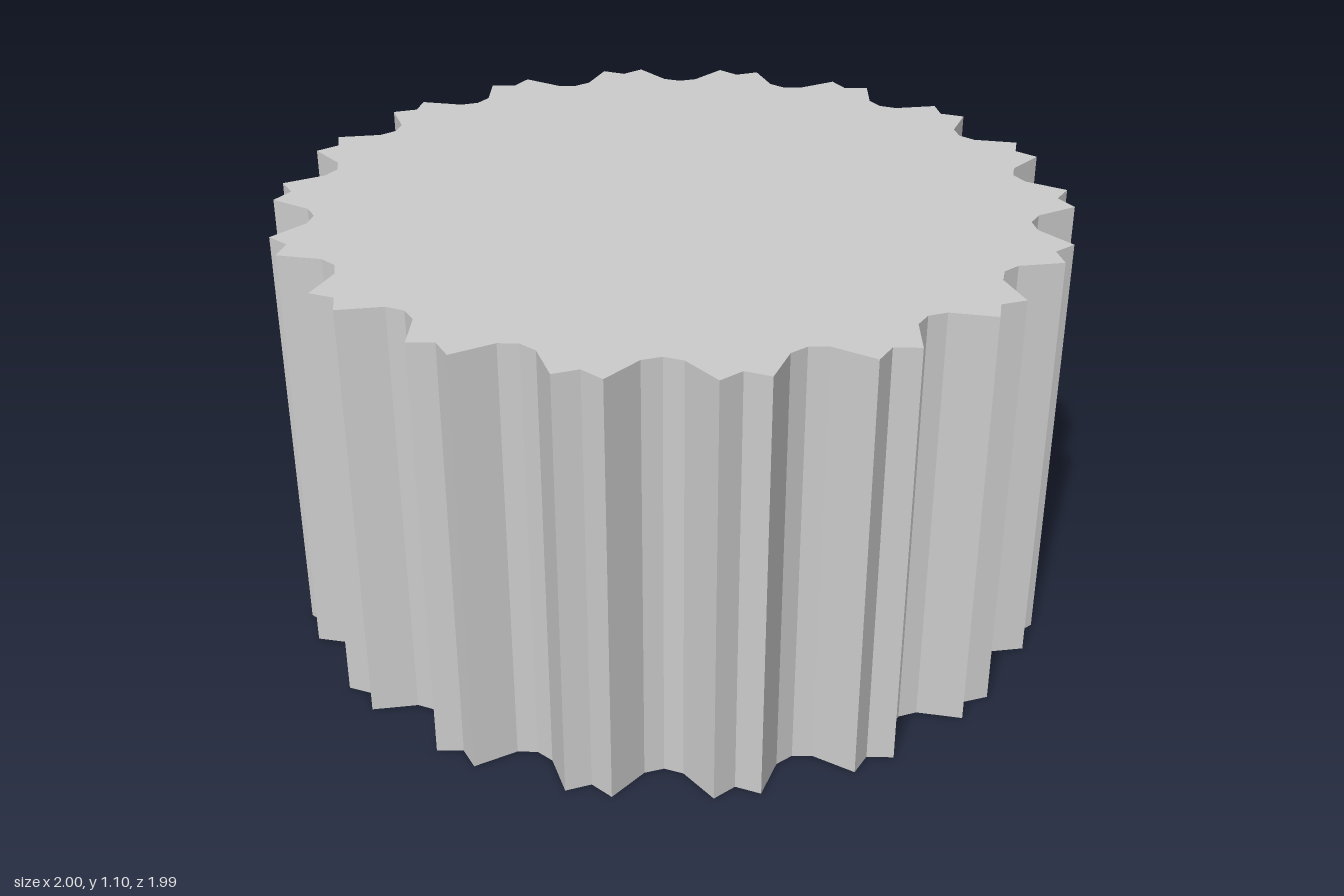
import * as THREE from 'three';

const TEETH = 18;
const HEIGHT = 1.1;
// One tooth, centred on its notched tip: [angle in degrees, radius]
const TOOTH = [[-7.1, 0.909], [-3.2, 1.0016], [0, 0.967], [3.2, 1.0016], [7.1, 0.909], [10, 0.892]];

export function createModel() {
  const group = new THREE.Group();
  group.name = 'gear';

  // Outline: the tooth profile repeated around the circle
  const points = [];
  for (let i = 0; i < TEETH; i++) {
    for (const [angle, radius] of TOOTH) {
      const a = THREE.MathUtils.degToRad(angle + (i * 360) / TEETH);
      points.push(new THREE.Vector2(Math.cos(a) * radius, Math.sin(a) * radius));
    }
  }

  // Solid toothed body, extruded straight up
  const geometry = new THREE.ExtrudeGeometry(new THREE.Shape(points), { depth: HEIGHT, bevelEnabled: false });
  geometry.rotateX(-Math.PI / 2);
  const material = new THREE.MeshStandardMaterial({ color: 0xcccccc, flatShading: true });
  const body = new THREE.Mesh(geometry, material);
  body.name = 'toothedBody';
  group.add(body);
  return group;
}
